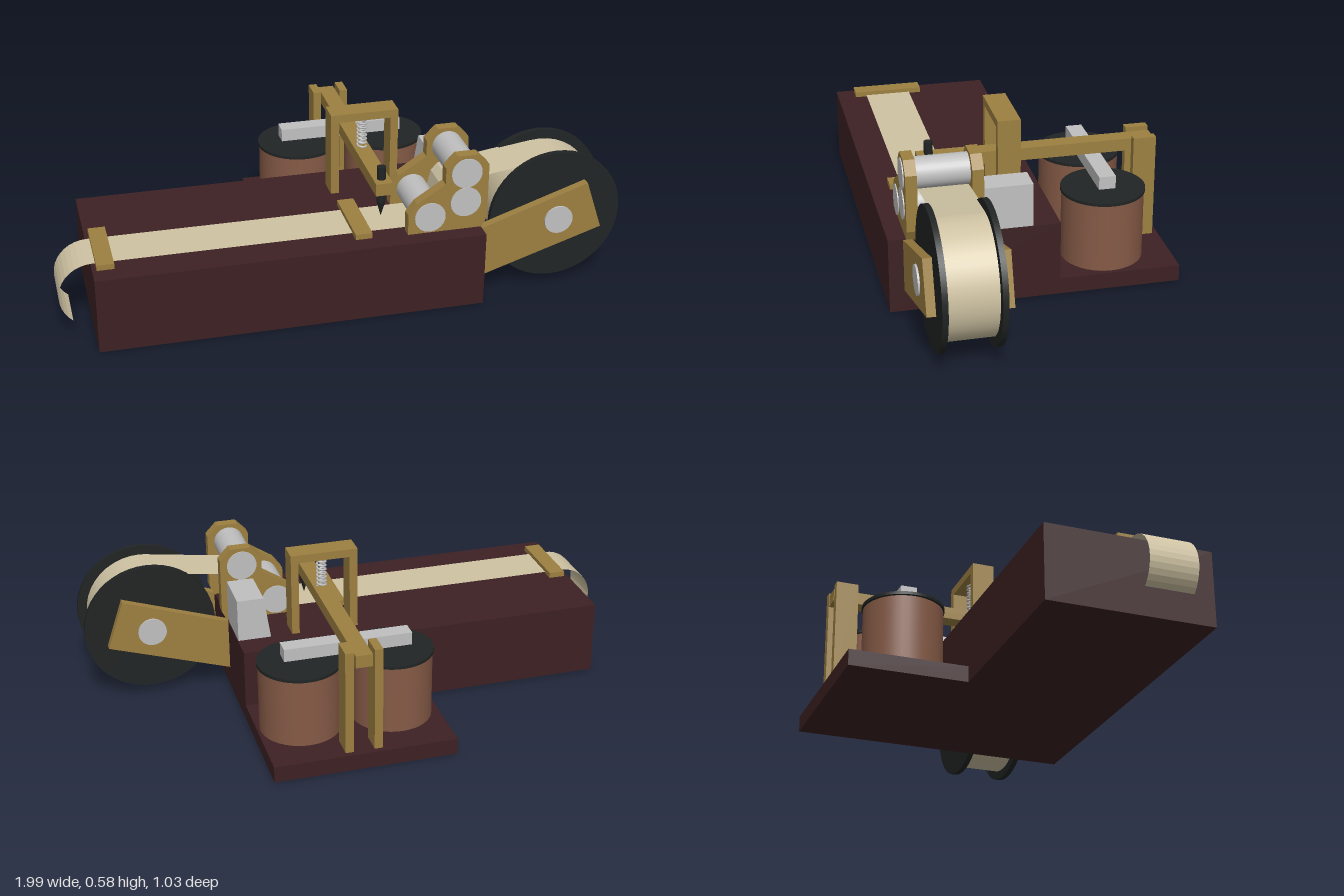
import * as THREE from 'three';

const mat = (name, color) => {
  const m = new THREE.MeshStandardMaterial({ color });
  m.name = name;
  return m;
};

export function createModel() {
  const wood = mat('dark wood', 0x3d2123);
  const brass = mat('brass', 0x9d8041);
  const steel = mat('steel', 0xc0c0c0);
  const black = mat('black', 0x212424);
  const copper = mat('copper wire', 0x855a46);
  const paper = mat('paper', 0xcfc3a3);
  paper.side = THREE.DoubleSide;

  const model = new THREE.Group();
  const add = (name, geo, m) => {
    const mesh = new THREE.Mesh(geo, m);
    mesh.name = name;
    model.add(mesh);
    return mesh;
  };
  // box given by its limits
  const box = (name, m, x0, x1, y0, y1, z0, z1) =>
    add(name, new THREE.BoxGeometry(x1 - x0, y1 - y0, z1 - z0), m)
      .position.set((x0 + x1) / 2, (y0 + y1) / 2, (z0 + z1) / 2);
  // disc or roller lying along z
  const roller = (name, m, x, y, r, z0, z1, seg = 32) =>
    add(name, new THREE.CylinderGeometry(r, r, z1 - z0, seg).rotateX(Math.PI / 2), m)
      .position.set(x, y, (z0 + z1) / 2);
  // upright cylinder or cone
  const upright = (name, m, x, z, y0, y1, rBottom, rTop, seg = 32) =>
    add(name, new THREE.CylinderGeometry(rTop, rBottom, y1 - y0, seg), m)
      .position.set(x, (y0 + y1) / 2, z);
  // outline in x and y, extruded along z
  const plate = (name, m, pts, z0, z1) => {
    const shape = new THREE.Shape(pts.map(p => new THREE.Vector2(...p)));
    add(name, new THREE.ExtrudeGeometry(shape, { depth: z1 - z0, bevelEnabled: false }), m)
      .position.z = z0;
  };

  // Base
  box('mainBase', wood, -0.885, 0.47, 0, 0.275, -0.085, 0.515);
  box('coilBase', wood, -0.19, 0.47, 0, 0.06, -0.52, -0.085);

  // Electromagnet coils with ridged windings
  const turns = 32, y0 = 0.06, pitch = 0.255 / turns;
  const winding = [new THREE.Vector2(0, y0)];
  for (let i = 0; i < turns; i++) {
    winding.push(new THREE.Vector2(0.14, y0 + i * pitch));
    winding.push(new THREE.Vector2(0.146, y0 + (i + 0.5) * pitch));
  }
  winding.push(new THREE.Vector2(0.14, 0.315), new THREE.Vector2(0, 0.315));
  for (const x of [-0.02, 0.315]) {
    add('coil', new THREE.LatheGeometry(winding, 40), copper).position.set(x, 0, -0.275);
    upright('coilCap', black, x, -0.275, 0.315, 0.326, 0.15, 0.15, 40);
  }

  // Lever, armature and pivot posts
  box('lever', brass, 0.115, 0.175, 0.387, 0.433, -0.5, 0.357);
  box('armature', steel, -0.087, 0.375, 0.34, 0.387, -0.305, -0.245);
  box('pivotPost', brass, 0.078, 0.108, 0.06, 0.447, -0.5, -0.417);
  box('pivotPost', brass, 0.182, 0.212, 0.06, 0.447, -0.5, -0.417);
  add('pivotPin', new THREE.CylinderGeometry(0.012, 0.012, 0.13, 16).rotateZ(Math.PI / 2), brass)
    .position.set(0.145, 0.41, -0.46);

  // Bridge over the lever with its return spring
  box('bridgePost', brass, 0.02, 0.05, 0.275, 0.555, 0.01, 0.092);
  box('bridgePost', brass, 0.24, 0.268, 0.275, 0.555, 0.01, 0.092);
  box('bridgeTop', brass, 0.02, 0.268, 0.555, 0.585, 0.01, 0.092);
  const helix = [];
  for (let i = 0; i <= 96; i++) {
    const a = i / 12 * Math.PI * 2;
    helix.push(new THREE.Vector3(0.145 + 0.016 * Math.cos(a), 0.433 + 0.122 * i / 96, 0.05 + 0.016 * Math.sin(a)));
  }
  add('spring', new THREE.TubeGeometry(new THREE.CatmullRomCurve3(helix), 192, 0.004, 6), steel);

  // Stylus
  upright('stylusShaft', black, 0.145, 0.315, 0.345, 0.48, 0.016, 0.016, 20);
  upright('stylusPoint', black, 0.145, 0.315, 0.29, 0.345, 0.001, 0.016, 20);

  // Motor block with one slanted side
  plate('motorBlock', steel, [[0.347, 0.275], [0.468, 0.275], [0.468, 0.433], [0.37, 0.433]], 0.012, 0.185);

  // Roller brackets and spool arms, one on each side of the paper
  const bracket = [[0.205, 0.27], [0.47, 0.27], [0.49, 0.31], [0.49, 0.515], [0.45, 0.557],
    [0.375, 0.557], [0.335, 0.515], [0.335, 0.455], [0.235, 0.39], [0.205, 0.35]];
  const arm = [[0.468, 0.08], [0.915, 0.225], [0.855, 0.403], [0.468, 0.272]];
  for (const [z0, z1] of [[0.187, 0.227], [0.413, 0.453]]) plate('rollerBracket', brass, bracket, z0, z1);
  for (const [z0, z1] of [[0.178, 0.208], [0.432, 0.463]]) plate('spoolArm', brass, arm, z0, z1);

  // Feed rollers
  for (const [x, y] of [[0.41, 0.49], [0.41, 0.38], [0.283, 0.335]]) {
    roller('feedRoller', steel, x, y, 0.055, 0.183, 0.457);
  }

  // Paper spool
  roller('spoolAxle', steel, 0.753, 0.273, 0.052, 0.17, 0.47);
  roller('spoolFlange', black, 0.753, 0.273, 0.242, 0.215, 0.235, 48);
  roller('spoolFlange', black, 0.753, 0.273, 0.242, 0.407, 0.427, 48);
  roller('paperRoll', paper, 0.753, 0.273, 0.208, 0.235, 0.407, 40);

  // Paper strip: curled free end, along the bed, through the rollers, up to the spool
  const path = [];
  for (let i = 0; i <= 14; i++) {
    const a = Math.PI * (1.28 - 0.78 * i / 14);
    path.push([-0.88 + 0.12 * Math.cos(a), 0.16 + 0.12 * Math.sin(a)]);
  }
  path.push([0.283, 0.279], [0.32, 0.295], [0.338, 0.335], [0.352, 0.4], [0.375, 0.425],
    [0.41, 0.435], [0.72, 0.479]);
  const strip = new THREE.PlaneGeometry(1, 1, path.length - 1, 1);
  const pos = strip.attributes.position;
  path.forEach(([x, y], i) => {
    pos.setXYZ(i, x, y, 0.228);
    pos.setXYZ(i + path.length, x, y, 0.402);
  });
  const flat = strip.toNonIndexed();
  flat.computeVertexNormals();
  add('paperStrip', flat, paper);

  // Guides holding the strip down
  box('paperGuide', brass, -0.87, -0.81, 0.275, 0.295, 0.182, 0.446);
  box('paperGuide', brass, 0.02, 0.08, 0.275, 0.295, 0.182, 0.446);

  return model;
}
